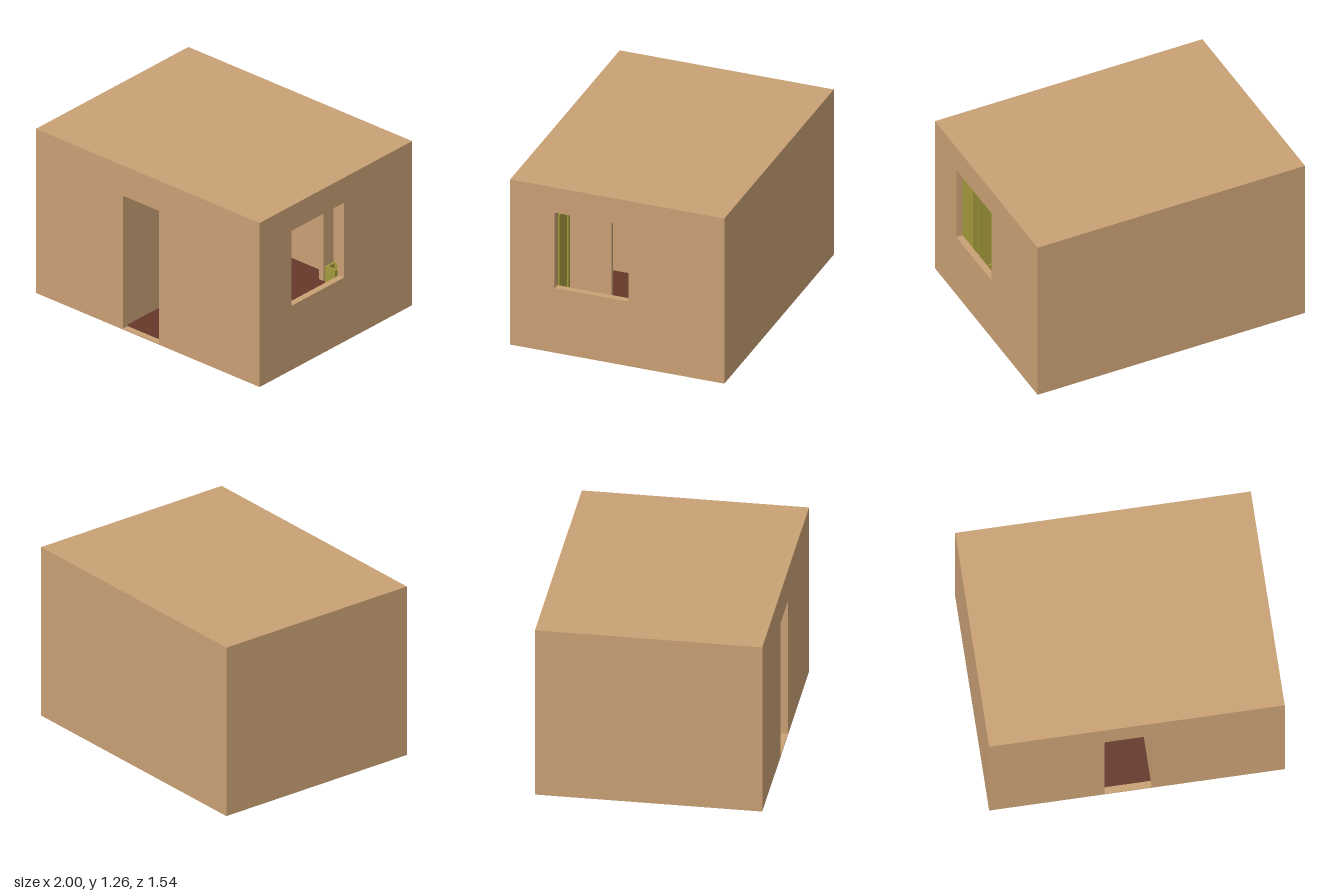
import * as THREE from 'three';

const T = 0.047;           // wall thickness
const W = 1, D = 0.77;     // half width and half depth
const BASE = 0.012, FLOOR = 0.02, TOP = 1.26, CEIL = TOP - T;

const mat = (color) => new THREE.MeshStandardMaterial({ color, flatShading: true, side: THREE.DoubleSide });

export function createModel() {
  const house = new THREE.Group();
  house.name = 'house';
  const tan = mat(0xc9a074), brown = mat(0x66382a), olive = mat(0xa39a3c);
  const red = mat(0xcc5f3c), teal = mat(0x7f9a8c);

  const add = (name, geo, material, parent = house) => {
    const mesh = new THREE.Mesh(geo, material);
    mesh.name = name;
    parent.add(mesh);
    return mesh;
  };
  // Box given by its lower and upper limits on each axis
  const box = (name, x0, x1, y0, y1, z0, z1, material, parent) => {
    const mesh = add(name, new THREE.BoxGeometry(x1 - x0, y1 - y0, z1 - z0), material, parent);
    mesh.position.set((x0 + x1) / 2, (y0 + y1) / 2, (z0 + z1) / 2);
    return mesh;
  };
  const outline = (points) => new THREE.Shape(points.map(([x, y]) => new THREE.Vector2(x, y)));
  const extrude = (points, depth, hole) => {
    const shape = outline(points);
    if (hole) shape.holes.push(outline(hole));
    return new THREE.ExtrudeGeometry(shape, { depth, bevelEnabled: false });
  };
  const rect = (x0, x1, y0, y1) => [[x0, y0], [x1, y0], [x1, y1], [x0, y1]];
  const group = (name) => {
    const g = new THREE.Group();
    g.name = name;
    house.add(g);
    return g;
  };

  // Shell: front wall with doorway, right wall with window, plain back and left walls
  add('frontWall', extrude(rect(-W, W, BASE, CEIL), T, rect(-0.22, 0.1, FLOOR, 1.03)), tan).position.z = D - T;
  const side = add('windowWall', extrude(rect(-D + T, D - T, BASE, CEIL), T, rect(-0.45, 0.08, 0.5, 1.07)), tan);
  side.rotation.y = Math.PI / 2;
  side.position.x = W - T;
  box('backWall', -W, W, BASE, CEIL, -D, -D + T, tan);
  box('leftWall', -W, -W + T, BASE, CEIL, -D + T, D - T, tan);
  box('roof', -W, W, CEIL, TOP, -D, D, tan);
  box('floor', -W + T, W - T, BASE + 0.003, FLOOR, -D + T, D - T, brown);

  // Partitions: the entrance hall and the corner room
  box('hallWallLeft', 0.1, 0.125, BASE, CEIL, 0.385, D - T, tan);
  box('hallWallRight', -0.27, -0.235, BASE, CEIL, 0.385, D - T, tan);
  box('cornerRoomWall', 0.72, W - T, BASE, CEIL, -0.36, -0.335, tan);
  box('backPier', 0.3, 0.34, BASE, CEIL, -D + T, -0.62, tan);

  // Cupboard with chamfered top corners and a framed door, facing the back
  const cupboard = group('cupboard');
  add('cupboardBody', extrude([[0.59, 0], [0.85, 0], [0.85, 0.98], [0.78, 1.07], [0.66, 1.07], [0.59, 0.98]], 0.2),
    olive, cupboard).position.z = 0.5;
  add('cupboardDoorFrame', extrude(rect(0.63, 0.81, 0.12, 0.95), 0.01, rect(0.65, 0.79, 0.14, 0.93)),
    olive, cupboard).position.z = 0.49;

  // Wardrobe on the left wall, with a raised frame round its door
  const wardrobe = group('wardrobe');
  box('wardrobeBody', -W + T, -0.78, FLOOR, 1.012, -0.3, 0.135, olive, wardrobe);
  const frame = add('wardrobeFrame', extrude(rect(-0.135, 0.3, FLOOR, 1.012), 0.015, rect(-0.12, 0.285, 0.06, 0.965)), olive, wardrobe);
  frame.rotation.y = Math.PI / 2;
  frame.position.x = -0.78;

  // Wall cabinet on the back wall
  const cabinet = group('wallCabinet');
  box('cabinetBody', -0.42, -0.015, 0.48, 0.825, -D + T, -0.6, olive, cabinet);
  add('cabinetFrame', extrude(rect(-0.42, -0.015, 0.48, 0.825), 0.012, rect(-0.405, -0.028, 0.5, 0.8)),
    olive, cabinet).position.z = -0.6;

  // Seat with pointed sides, legs, a back and a cushion
  const seat = group('seat');
  add('seatBody', extrude([[-0.5, 0.105], [-0.105, 0.105], [-0.08, 0.16], [-0.105, 0.255], [-0.5, 0.255]], 0.3),
    red, seat).position.z = -0.4;
  for (const x of [-0.46, -0.15])
    for (const z of [-0.37, -0.13])
      box('seatLeg', x - 0.006, x + 0.006, FLOOR, 0.105, z - 0.006, z + 0.006, red, seat);
  box('seatBack', -0.5, -0.2, 0.255, 0.37, -0.4, -0.36, red, seat);
  box('seatCushion', -0.48, -0.21, 0.255, 0.35, -0.36, -0.32, teal, seat);

  // Small open box near the back wall
  const crate = group('crate');
  const bin = add('crateSides', extrude(rect(-0.045, 0.045, -0.045, 0.045), 0.15, rect(-0.03, 0.03, -0.03, 0.03)), olive, crate);
  bin.rotation.x = -Math.PI / 2;
  bin.position.set(0.44, FLOOR, -0.62);
  box('crateBottom', 0.41, 0.47, FLOOR, 0.12, -0.65, -0.59, olive, crate);

  // Stool by the left wall, its spread feet reaching just below the floor
  const stool = group('stool');
  add('stoolTop', new THREE.CylinderGeometry(0.07, 0.07, 0.03, 8), teal, stool).position.y = 0.2;
  for (let i = 0; i < 3; i++) {
    const a = (i * Math.PI * 2) / 3;
    const foot = new THREE.Vector3(Math.cos(a) * 0.045, 0.008, Math.sin(a) * 0.045);
    const path = new THREE.LineCurve3(foot, new THREE.Vector3(0, 0.19, 0));
    add('stoolLeg', new THREE.TubeGeometry(path, 1, 0.008, 5), teal, stool);
  }
  stool.position.set(-0.85, 0, -0.24);

  return house;
}
